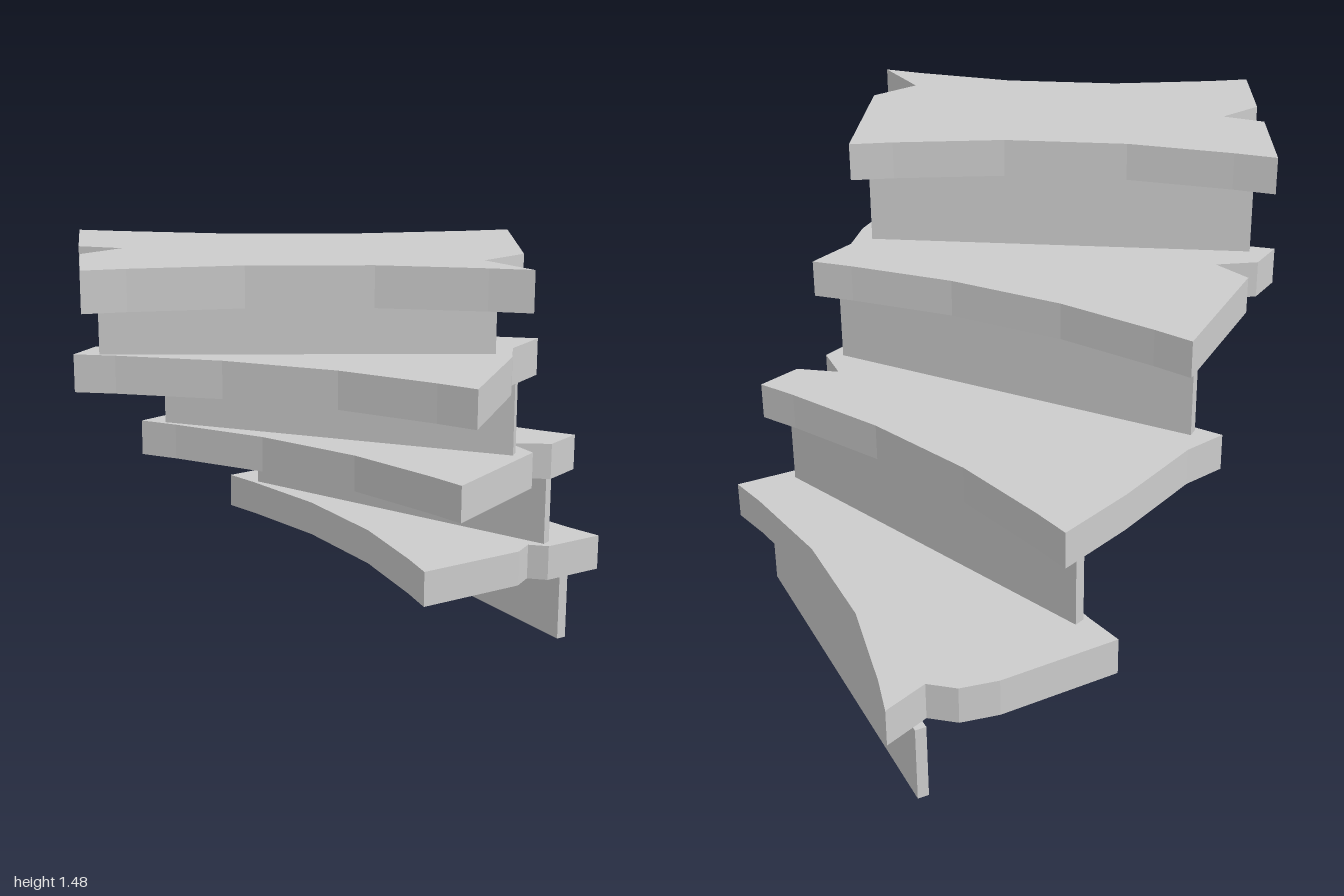
import * as THREE from 'three';

const TREAD = 0.122, RISER = 0.25, PITCH = 0.37;

// Each step: outer end (left to right corner), inner end (right to left corner),
// depth of the hollow in the right and left edges, riser centre [x, z] and heading.
const STEPS = [
  {
    outer: [[0.23, -0.98], [0.62, -1.0], [0.74, -0.98], [0.815, -0.92], [0.96, -0.98]],
    inner: [[0.96, 0.33], [0.74, 0.33], [0.69, 0.28], [0.62, 0.32], [0.23, 0.32]],
    hollow: [0.09, 0.08], riser: [0.848, -0.335], angle: 0,
  },
  {
    outer: [[-0.31, -0.64], [-0.17, -0.67], [0.12, -0.81], [0.37, -0.91]],
    inner: [[0.86, 0.3], [0.72, 0.35], [0.605, 0.27], [0.6, 0.4], [0.18, 0.58]],
    hollow: [0.062, 0.08], riser: [0.525, -0.28], angle: 22,
  },
  {
    outer: [[-0.745, -0.22], [-0.64, -0.285], [-0.51, -0.24], [-0.55, -0.37], [-0.17, -0.67]],
    inner: [[0.64, 0.355], [0.48, 0.43], [0.4, 0.53], [0.06, 0.81]],
    hollow: [0.063, 0.08], riser: [0.15, -0.102], angle: 38.5,
  },
  {
    outer: [[-0.965, 0.34], [-0.85, 0.09], [-0.7, 0.06], [-0.795, -0.04], [-0.66, -0.33]],
    inner: [[0.49, 0.37], [0.25, 0.76], [0.085, 0.79], [0.11, 0.99]],
    hollow: [0.08, 0.08], riser: [-0.138, 0.132], angle: 59,
  },
];

// Points of a long edge that bows inward between two corners
function hollowEdge([ax, az], [bx, bz], depth) {
  const dx = bx - ax, dz = bz - az, len = Math.hypot(dx, dz);
  return [[0.1, 0.35], [0.35, 1], [0.64, 1], [0.9, 0.35]].map(([t, k]) => [
    ax + dx * t - (dz / len) * depth * k,
    az + dz * t + (dx / len) * depth * k,
  ]);
}

function treadGeometry({ outer, inner, hollow }) {
  const outline = [
    ...outer,
    ...hollowEdge(outer.at(-1), inner[0], hollow[0]),
    ...inner,
    ...hollowEdge(inner.at(-1), outer[0], hollow[1]),
  ];
  const shape = new THREE.Shape(outline.map(([x, z]) => new THREE.Vector2(x, -z)));
  const geometry = new THREE.ExtrudeGeometry(shape, { depth: TREAD, bevelEnabled: false });
  return geometry.rotateX(-Math.PI / 2);
}

export function createModel() {
  const model = new THREE.Group();
  model.name = 'windingStairs';
  const material = new THREE.MeshStandardMaterial({ color: 0xcccccc });

  STEPS.forEach((step, i) => {
    const group = new THREE.Group();
    group.name = `step${i + 1}`;
    group.position.y = i * PITCH;

    // Thin upright board below the tread
    const riser = new THREE.Mesh(new THREE.BoxGeometry(0.035, RISER, 1.24), material);
    riser.name = 'riser';
    riser.position.set(step.riser[0], RISER / 2, step.riser[1]);
    riser.rotation.y = THREE.MathUtils.degToRad(step.angle);

    // Notched slab
    const tread = new THREE.Mesh(treadGeometry(step), material);
    tread.name = 'tread';
    tread.position.y = RISER;

    group.add(riser, tread);
    model.add(group);
  });
  return model;
}
